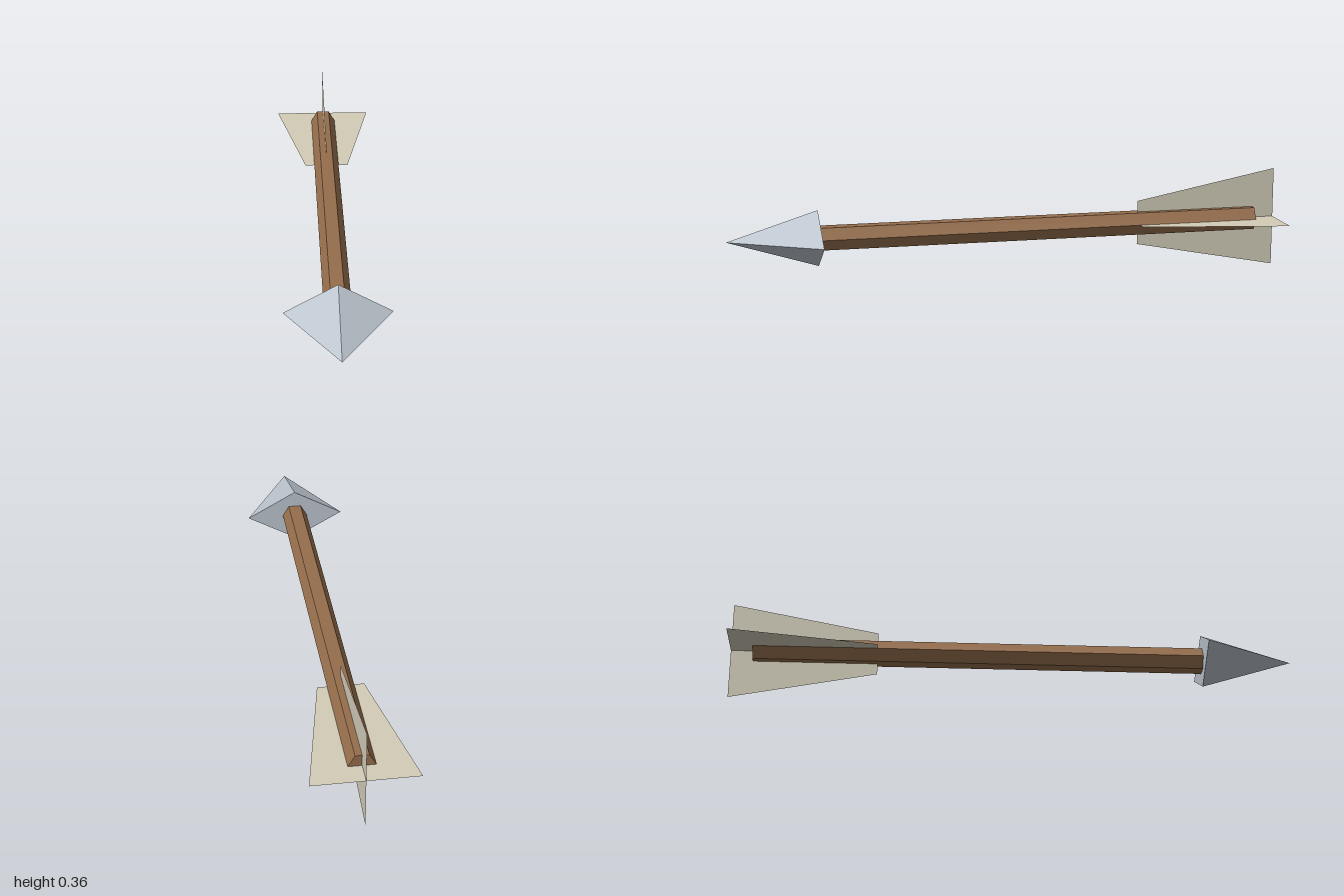
import * as THREE from 'three';

export function createModel() {
  const wood = new THREE.MeshStandardMaterial({ name: 'wood', color: 0x966e4c, flatShading: true });
  const steel = new THREE.MeshStandardMaterial({ name: 'steel', color: 0xbcc5cf, flatShading: true });
  const feather = new THREE.MeshStandardMaterial({ name: 'feather', color: 0xd2ccb8, side: THREE.DoubleSide });

  const model = new THREE.Group();
  model.name = 'arrow';
  const axisY = 0.18;
  const add = (name, geometry, material, z = 0) => {
    const mesh = new THREE.Mesh(geometry, material);
    mesh.name = name;
    mesh.position.set(0, axisY, z);
    model.add(mesh);
    return mesh;
  };

  // Hexagonal shaft along z, flat on top, with corners at the sides
  const shaftBack = -0.92, headBase = 0.68;
  const shaft = new THREE.CylinderGeometry(0.046, 0.046, headBase - shaftBack, 6);
  shaft.rotateY(Math.PI / 6).rotateX(Math.PI / 2);
  add('shaft', shaft, wood, (shaftBack + headBase) / 2);

  // Four-sided head, wider than tall, with a closed base
  const head = new THREE.ConeGeometry(1, 1 - headBase, 4);
  head.rotateX(Math.PI / 2).scale(0.18, 0.1, 1);
  add('head', head, steel, (1 + headBase) / 2);

  // Two crossed sheets of fletching, flaring towards the back
  const outline = new THREE.Shape([
    new THREE.Vector2(-0.08, 0.48), new THREE.Vector2(0.08, 0.48),
    new THREE.Vector2(0.18, 1), new THREE.Vector2(-0.18, 1),
  ]);
  const fletching = new THREE.ShapeGeometry(outline).rotateX(-Math.PI / 2);
  add('horizontalFletching', fletching, feather);
  add('verticalFletching', fletching, feather).rotation.z = Math.PI / 2;

  return model;
}
